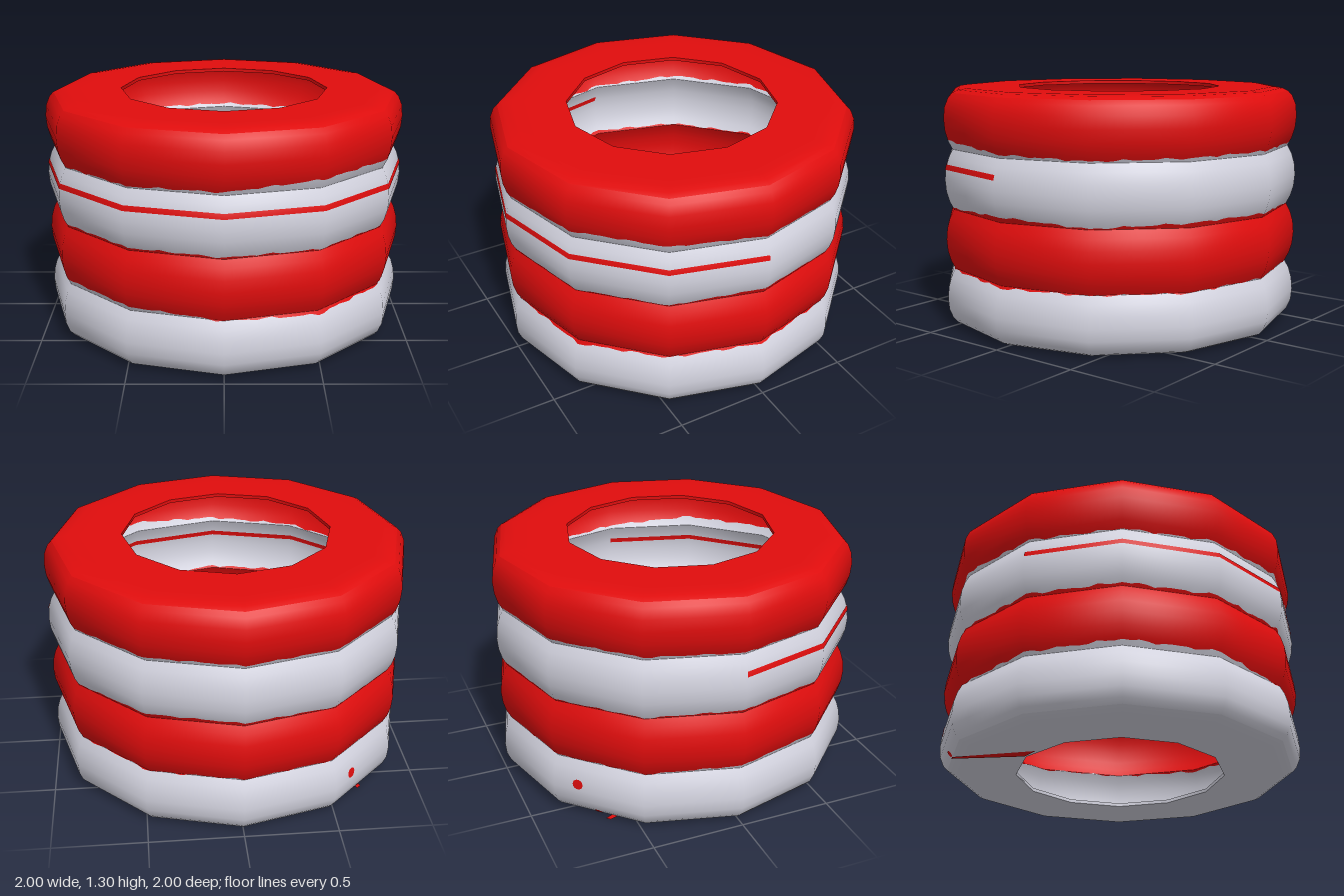
import * as THREE from 'three';

const H = 0.327, TOP = 4 * H, EDGE = 0.025, SEG = Math.PI / 6, HOLE = 0.572;
const rad = THREE.MathUtils.degToRad;

// Outer wall as [height, radius] pairs: four bulging rings with creased grooves between
const GROOVE = [[0.001, 0.955], [0.045, 0.978], [0.1, 0.994]];
const ROUNDED = [[EDGE, 0.95], [0.05, 0.973], [0.1, 0.994]];
const wall = [];
for (let ring = 0; ring < 4; ring++) {
  const low = ring === 0 ? ROUNDED : GROOVE;
  const high = ring === 3 ? ROUNDED : GROOVE;
  low.forEach(([y, r]) => wall.push([ring * H + y, r]));
  wall.push([(ring + 0.5) * H, 1]);
  [...high].reverse().forEach(([y, r]) => wall.push([(ring + 1) * H - y, r]));
}

function radiusAt(y) {
  let k = 1;
  while (k < wall.length - 1 && wall[k][0] < y) k++;
  const [y0, r0] = wall[k - 1], [y1, r1] = wall[k];
  return r0 + (r1 - r0) * THREE.MathUtils.clamp((y - y0) / (y1 - y0), 0, 1);
}

function slopeAt(y) {
  // One-sided sampling within the ring keeps the grooves creased
  const ring = THREE.MathUtils.clamp(Math.floor(y / H), 0, 3);
  const a = Math.max(y - 0.02, ring * H + 0.001, EDGE);
  const b = Math.min(y + 0.02, (ring + 1) * H - 0.001, TOP - EDGE);
  return (radiusAt(b) - radiusAt(a)) / (b - a);
}

// Piece of the twelve-sided wall between two angles and two height rules
function wallBand(a0, a1, bottom, top, scale = 1, columns = 144) {
  const pos = [], nor = [], index = [], n = new THREE.Vector3();
  const rows = [-1, ...wall.map(p => p[0]), 9];
  for (let i = 0; i <= columns; i++) {
    const a = a0 + (a1 - a0) * i / columns;
    const local = ((a % SEG) + SEG) % SEG - SEG / 2;
    const facet = scale * Math.cos(SEG / 2) / Math.cos(local);
    rows.forEach((row, j) => {
      const y = THREE.MathUtils.clamp(row, bottom(a), top(a));
      const r = radiusAt(y) * facet;
      pos.push(r * Math.sin(a), y, r * Math.cos(a));
      n.set(Math.sin(a), -slopeAt(y), Math.cos(a)).normalize();
      nor.push(n.x, n.y, n.z);
      if (i < columns && j < rows.length - 1) {
        const p = i * rows.length + j, q = p + rows.length;
        index.push(p, q, q + 1, p, q + 1, p + 1);
      }
    });
  }
  const g = new THREE.BufferGeometry();
  g.setAttribute('position', new THREE.Float32BufferAttribute(pos, 3));
  g.setAttribute('normal', new THREE.Float32BufferAttribute(nor, 3));
  g.setIndex(index);
  return g;
}

// Ragged paint edge: heights every 30 degrees plus a small ripple
function paintEdge(heights) {
  return a => {
    const t = (((a / SEG) % 12) + 12) % 12, k = Math.floor(t) % 12, f = t - Math.floor(t);
    const ripple = 0.004 * Math.sin(a * 31) + 0.003 * Math.sin(a * 53 + 1);
    return THREE.MathUtils.lerp(heights[k], heights[(k + 1) % 12], f) + ripple;
  };
}

export function createModel() {
  const model = new THREE.Group();
  const paint = (name, color) => {
    const m = new THREE.MeshStandardMaterial({ color, side: THREE.DoubleSide });
    m.name = name;
    return m;
  };
  const red = paint('red', 0xe00d0d), white = paint('white', 0xd4d4e0);
  const add = (name, geometry, material) => {
    const mesh = new THREE.Mesh(geometry, material);
    mesh.name = name;
    model.add(mesh);
    return mesh;
  };

  // Four painted rings, bottom to top
  const edges = [
    () => EDGE,
    paintEdge([0.325, 0.308, 0.32, 0.315, 0.325, 0.325, 0.33, 0.33, 0.33, 0.345, 0.355, 0.352]),
    paintEdge([0.665, 0.66, 0.66, 0.685, 0.66, 0.68, 0.675, 0.66, 0.66, 0.67, 0.67, 0.67]),
    paintEdge([1.0, 1.03, 1.03, 1.0, 0.99, 1.0, 1.0, 1.0, 1.0, 0.99, 0.985, 0.99]),
    () => TOP - EDGE,
  ];
  ['bottomRing', 'lowerMiddleRing', 'upperMiddleRing', 'topRing'].forEach((name, i) =>
    add(name, wallBand(0, Math.PI * 2, edges[i], edges[i + 1]), i % 2 ? red : white));

  // Flat sidewalls with rounded shoulders, and the short lip around the hole
  const cap = (name, material, height) => {
    const side = [[HOLE, 0.003], [0.8, 0.003], [0.87, 0.003], [0.92, 0.01], [0.95, EDGE]];
    const lip = [[HOLE, 0.003], [HOLE, 0.022]];
    [[name + 'Sidewall', side], [name + 'Lip', lip]].forEach(([part, points]) =>
      add(part, new THREE.LatheGeometry(
        points.map(([r, y]) => new THREE.Vector2(r, height(y))), 12), material));
  };
  cap('bottom', white, y => y);
  cap('top', red, y => TOP - y);

  // Thin stripe around the front half, showing outside and inside
  for (const [name, scale] of [['outerStripe', 1.003], ['innerStripe', 0.997]]) {
    add(name, wallBand(-Math.PI / 2, Math.PI / 2, () => 0.873, () => 0.901, scale, 12), red);
  }

  // Paint drips on the lowest ring
  const drip = (deg, y, w, h) => {
    const c = rad(deg);
    const half = a => h * Math.sqrt(Math.max(0, 1 - ((a - c) / w) ** 2));
    add('paintDrip', wallBand(c - w, c + w, a => y - half(a), a => y + half(a), 1.003, 12), red);
  };
  drip(218, 0.2, 0.03, 0.028);
  drip(224, 0.04, 0.025, 0.014);

  // Paint smear across the underside
  const smear = new THREE.Shape([[-0.69, -0.62], [-0.67, -0.64], [-0.51, -0.285], [-0.55, -0.19]]
    .map(([x, z]) => new THREE.Vector2(x, z)));
  add('undersideSmear', new THREE.ShapeGeometry(smear).rotateX(Math.PI / 2), red);

  return model;
}
